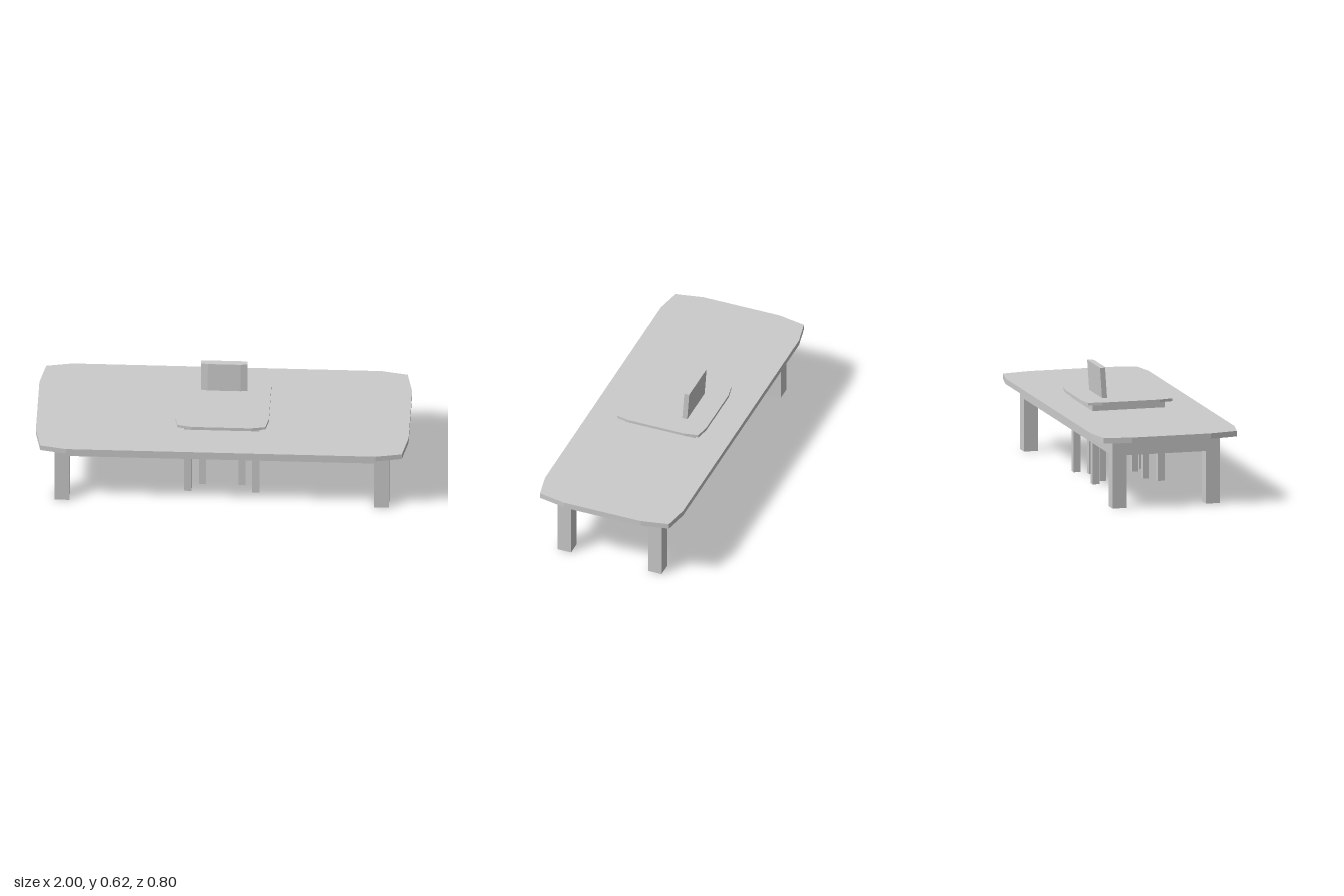
import * as THREE from 'three';

const material = new THREE.MeshStandardMaterial({ color: 0xcccccc, flatShading: true });

function addMesh(parent, name, geometry, x = 0, y = 0, z = 0) {
  const mesh = new THREE.Mesh(geometry, material);
  mesh.name = name;
  mesh.position.set(x, y, z);
  parent.add(mesh);
  return mesh;
}

// Horizontal slab: a plan outline extruded upwards
function slab(shape, height) {
  return new THREE.ExtrudeGeometry(shape, { depth: height, bevelEnabled: false }).rotateX(-Math.PI / 2);
}

function rectangle(w, d) {
  return [[-w, -d], [w, -d], [w, d], [-w, d]].map(([x, y]) => new THREE.Vector2(x, y));
}

// Four legs under a rectangular apron as thick as the legs (w, d are half sizes)
function addFrame(parent, w, d, legW, legD, apronBottom, apronTop) {
  const ring = new THREE.Shape(rectangle(w, d));
  ring.holes.push(new THREE.Path(rectangle(w - legW, d - legD)));
  addMesh(parent, 'apron', slab(ring, apronTop - apronBottom), 0, apronBottom, 0);
  for (const sx of [-1, 1]) for (const sz of [-1, 1]) {
    const name = (sz > 0 ? 'front' : 'back') + (sx > 0 ? 'Left' : 'Right') + 'Leg';
    addMesh(parent, name, new THREE.BoxGeometry(legW, apronBottom, legD),
      sx * (w - legW / 2), apronBottom / 2, sz * (d - legD / 2));
  }
}

// Table top with each rounded corner reduced to two facets
function topShape(w, d, sideZ, cornerX, cornerZ, endX) {
  const quarter = [[w, sideZ], [cornerX, cornerZ], [endX, d]];
  const back = [...quarter].reverse();
  const points = [
    ...quarter,
    ...back.map(([x, z]) => [-x, z]),
    ...quarter.map(([x, z]) => [-x, -z]),
    ...back.map(([x, z]) => [x, -z]),
  ];
  return new THREE.Shape(points.map(([x, z]) => new THREE.Vector2(x, z)));
}

// Closed solid through convex [x, z] loops stacked at given heights
function loft(sections) {
  const n = sections[0].loop.length;
  const positions = [];
  const index = [];
  for (const { y, loop } of sections) for (const [x, z] of loop) positions.push(x, y, z);
  for (let s = 0; s < sections.length - 1; s++) {
    for (let i = 0; i < n; i++) {
      const a = s * n + i, b = s * n + (i + 1) % n;
      index.push(a, b, b + n, a, b + n, a + n);
    }
  }
  const last = (sections.length - 1) * n;
  for (let i = 1; i < n - 1; i++) {
    index.push(0, i + 1, i, last, last + i, last + i + 1);
  }
  const geometry = new THREE.BufferGeometry();
  geometry.setAttribute('position', new THREE.Float32BufferAttribute(positions, 3));
  geometry.setIndex(index);
  const flat = geometry.toNonIndexed();
  flat.computeVertexNormals();
  return flat;
}

export function createModel() {
  const model = new THREE.Group();
  model.name = 'diningSet';

  // Long table
  const longTable = new THREE.Group();
  longTable.name = 'longTable';
  addFrame(longTable, 0.897, 0.3, 0.08, 0.078, 0.287, 0.372);
  addMesh(longTable, 'longTableTop', slab(topShape(1, 0.4, 0.22, 0.97, 0.372, 0.83), 0.03), 0, 0.372, 0);
  model.add(longTable);

  // Small square table passing through the long one
  const smallTable = new THREE.Group();
  smallTable.name = 'smallTable';
  smallTable.position.set(-0.004, 0.002, -0.011);
  addFrame(smallTable, 0.202, 0.202, 0.04, 0.039, 0.388, 0.438);
  addMesh(smallTable, 'smallTableTop', slab(topShape(0.251, 0.251, 0.16, 0.236, 0.236, 0.16), 0.015), 0, 0.438, 0);
  model.add(smallTable);

  // Chair in the middle
  const chair = new THREE.Group();
  chair.name = 'chair';
  chair.position.set(-0.004, 0.003, -0.012);
  const half = 0.1245;
  addFrame(chair, half, 0.137, 0.037, 0.035, 0.222, 0.262);

  // Seat with its front and side edges sloping down
  const seatLoop = (inset) => [
    [-half + inset, -0.103], [-half + inset, 0.137 - inset],
    [half - inset, 0.137 - inset], [half - inset, -0.103],
  ];
  addMesh(chair, 'seat', loft([
    { y: 0.262, loop: seatLoop(0) },
    { y: 0.264, loop: seatLoop(0) },
    { y: 0.272, loop: seatLoop(0.034) },
  ]));

  // Backrest bowed forward at mid height, with angled front edges
  const backSection = (y, shift) => ({
    y,
    loop: [
      [-half, -0.137], [-half, -0.109], [-0.088, -0.103],
      [0.088, -0.103], [half, -0.109], [half, -0.137],
    ].map(([x, z]) => [x, z + shift]),
  });
  addMesh(chair, 'backrest', loft([
    backSection(0.262, 0), backSection(0.44, 0.012), backSection(0.617, 0),
  ]));
  model.add(chair);

  return model;
}
